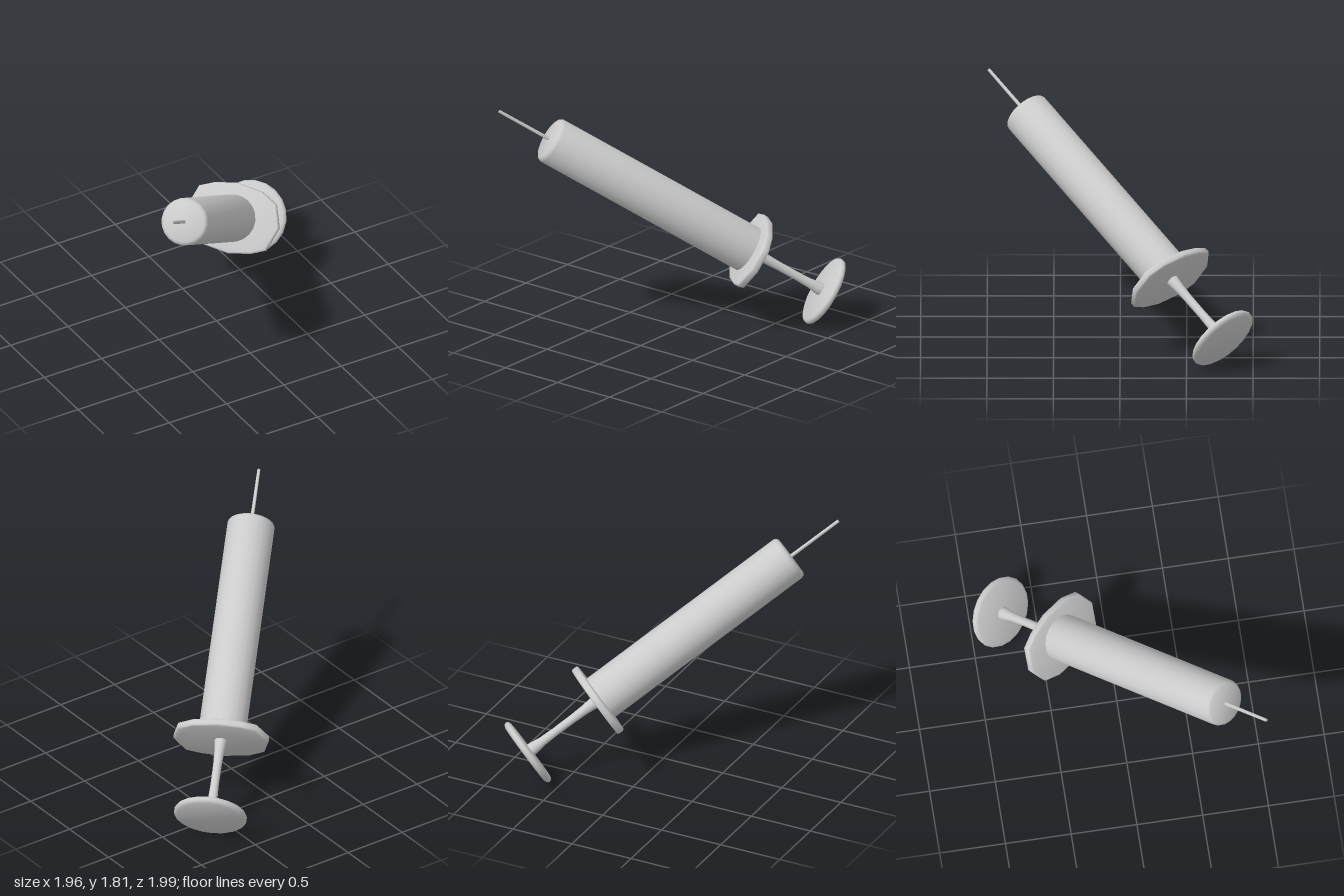
import * as THREE from 'three';
import { toCreasedNormals } from 'three/addons/utils/BufferGeometryUtils.js';

const material = new THREE.MeshStandardMaterial({ color: 0xcccccc });

function addPart(group, name, geometry, crease = 1) {
  const mesh = new THREE.Mesh(toCreasedNormals(geometry, crease), material);
  mesh.name = name;
  group.add(mesh);
}

// Closed turned part; the profile is [radius, height] from bottom to top
function turned(profile, sides) {
  return new THREE.LatheGeometry(profile.map(([r, y]) => new THREE.Vector2(r, y)), sides);
}

export function createModel() {
  const model = new THREE.Group();
  model.name = 'syringe';

  // Built along local y, from the thumb disc up to the needle tip
  const body = new THREE.Group();
  body.name = 'syringeBody';
  model.add(body);

  // Thumb disc with softened rim
  addPart(body, 'thumbDisc', turned([
    [0, -0.03], [0.25, -0.03], [0.272, -0.018], [0.278, 0],
    [0.27, 0.018], [0.25, 0.026], [0, 0.028],
  ], 20));

  // Plunger rod, flared at both ends
  addPart(body, 'plungerRod', turned([
    [0, 0.02], [0.05, 0.02], [0.047, 0.06], [0.036, 0.13], [0.032, 0.25],
    [0.033, 0.42], [0.038, 0.54], [0.047, 0.62], [0.047, 0.64], [0, 0.64],
  ], 16));

  // Finger flange: long faceted plate, the same after a half turn
  const half = [[0.365, -0.03], [0.32, 0.145], [0.2, 0.225], [0, 0.268], [-0.17, 0.25], [-0.285, 0.21]];
  const outline = [...half, ...half.map(([x, y]) => [-x, -y])];
  const flange = new THREE.ExtrudeGeometry(
    new THREE.Shape(outline.map(([x, y]) => new THREE.Vector2(x, y))),
    { depth: 0.03, bevelThickness: 0.014, bevelSize: 0.014, bevelOffset: -0.014, bevelSegments: 2 },
  );
  flange.rotateX(-Math.PI / 2).translate(0, 0.639, 0);
  addPart(body, 'fingerFlange', flange);

  // Barrel with a slightly softened front edge
  addPart(body, 'barrel', turned([
    [0, 0.66], [0.18, 0.66], [0.18, 2.435], [0.172, 2.455], [0.155, 2.466], [0, 2.468],
  ], 20));

  // Needle
  const needle = new THREE.CylinderGeometry(0.012, 0.014, 0.475, 10);
  needle.translate(0, 2.675, 0);
  addPart(body, 'needle', needle);

  // Tilt the whole syringe, keeping the flange's long side level
  const axis = new THREE.Vector3(-1.72, 1.56, 1.76).normalize();
  const across = new THREE.Vector3(axis.z, 0, -axis.x).normalize();
  const third = new THREE.Vector3().crossVectors(across, axis);
  body.quaternion.setFromRotationMatrix(new THREE.Matrix4().makeBasis(across, axis, third));
  body.position.set(0.75, 0.25, -0.77);

  return model;
}
